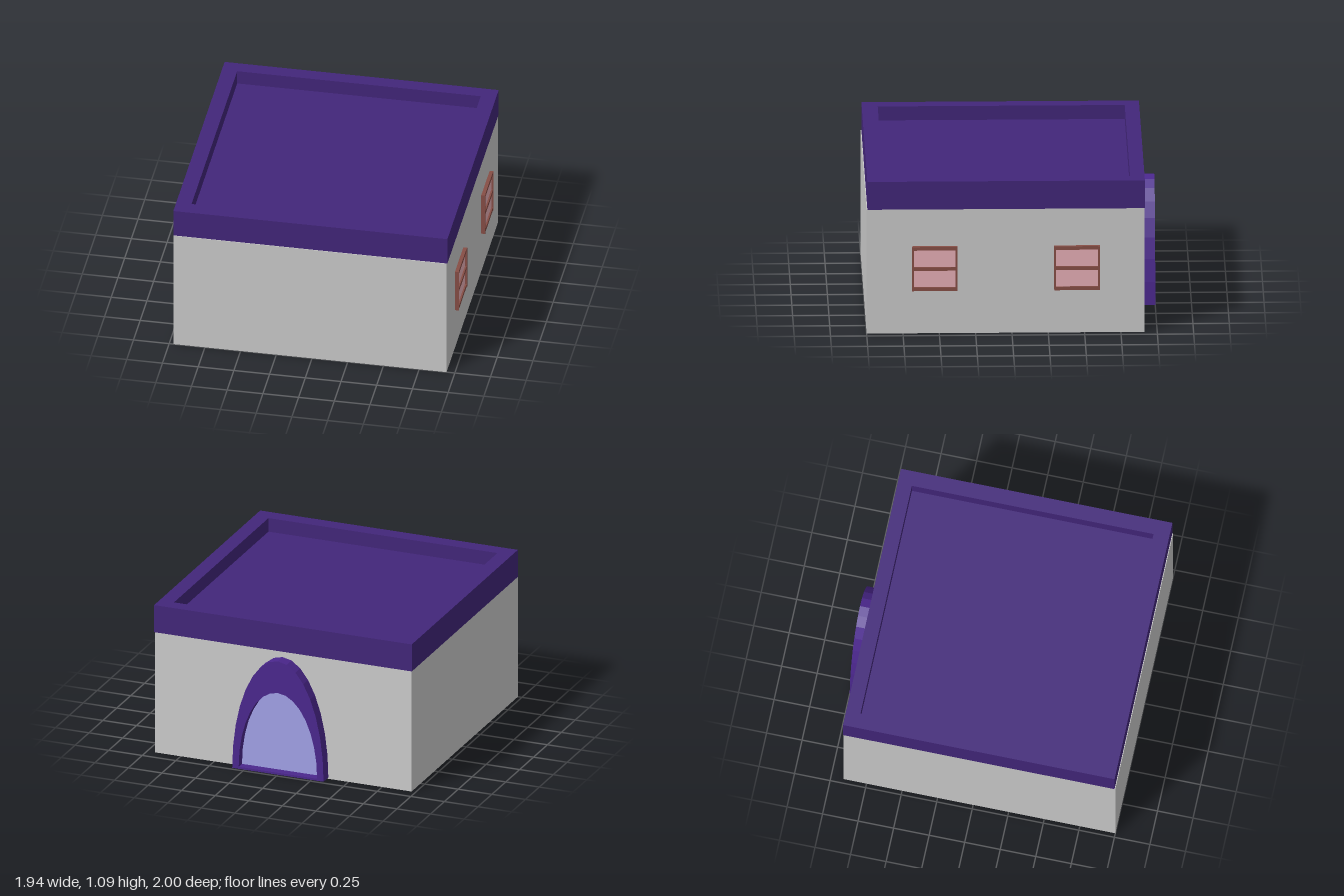
import * as THREE from 'three';

const material = (color) => new THREE.MeshStandardMaterial({ color, flatShading: true });
const wallMat = material(0xcccccc);
const roofMat = material(0x42267a);
const archMat = material(0x4b278e);
const frameMat = material(0x874e46);
const paneMat = material(0xe9b0b7);
const doorMat = material(0xa1a1e8);

// Box given by its minimum and maximum corners
function box(name, mat, min, max) {
  const size = max.map((v, i) => v - min[i]);
  const mesh = new THREE.Mesh(new THREE.BoxGeometry(...size), mat);
  mesh.position.set(...max.map((v, i) => (v + min[i]) / 2));
  mesh.name = name;
  return mesh;
}

// Points of a half ellipse standing on y = base
function archPoints(radius, base, top, segments = 16) {
  const points = [];
  for (let i = 0; i <= segments; i++) {
    const a = (Math.PI * i) / segments;
    points.push(new THREE.Vector2(radius * Math.cos(a), base + (top - base) * Math.sin(a)));
  }
  return points;
}

function rectPoints(x0, y0, x1, y1) {
  return [[x0, y0], [x1, y0], [x1, y1], [x0, y1]].map((p) => new THREE.Vector2(...p));
}

// Roof block with a raised rim around a sunken floor
function createRoof() {
  const roof = new THREE.Group();
  roof.name = 'roof';
  const outline = new THREE.Shape(rectPoints(-0.972, -0.995, 0.947, 0.915));
  outline.holes.push(new THREE.Path(rectPoints(-0.865, -0.885, 0.84, 0.815)));
  const rim = new THREE.Mesh(
    new THREE.ExtrudeGeometry(outline, { depth: 0.2, bevelEnabled: false }), roofMat);
  rim.rotation.x = -Math.PI / 2;
  rim.position.y = 0.89;
  rim.name = 'parapet';
  roof.add(rim, box('roofFloor', roofMat, [-0.865, 0.89, -0.815], [0.84, 0.99, 0.885]));
  return roof;
}

// Two-pane window on the +x wall, centred on z
function createWindow(z) {
  const group = new THREE.Group();
  group.name = 'window';
  const h = 0.157, x0 = 0.935, x1 = 0.97;
  for (const s of [-1, 1]) {
    const [a, b] = [s * h, s * (h - 0.013)].sort((p, q) => p - q);
    group.add(box('frameSide', frameMat, [x0, 0.31, a], [x1, 0.625, b]));
  }
  for (const [name, y0, y1] of [['frameBottom', 0.31, 0.335], ['frameTop', 0.6, 0.625], ['crossbar', 0.455, 0.48]]) {
    group.add(box(name, frameMat, [x0, y0, -h + 0.013], [x1 - 0.003, y1, h - 0.013]));
  }
  group.add(box('pane', paneMat, [x0, 0.335, -h + 0.013], [0.956, 0.6, h - 0.013]));
  group.position.z = z;
  return group;
}

// Arched surround with sill and a recessed door panel on the back wall
function createDoorway() {
  const group = new THREE.Group();
  group.name = 'doorway';
  const outline = new THREE.Shape(archPoints(0.34, 0.01, 0.85));
  outline.holes.push(new THREE.Path(archPoints(0.292, 0.025, 0.615)));
  const surround = new THREE.Mesh(
    new THREE.ExtrudeGeometry(outline, { depth: 0.1, bevelEnabled: false }), archMat);
  surround.position.z = -1;
  surround.name = 'archSurround';
  const door = new THREE.Mesh(
    new THREE.ExtrudeGeometry(new THREE.Shape(archPoints(0.292, 0.025, 0.615)),
      { depth: 0.03, bevelEnabled: false }), doorMat);
  door.position.z = -0.94;
  door.name = 'doorPanel';
  group.add(surround, door);
  group.position.x = -0.01;
  return group;
}

export function createModel() {
  const model = new THREE.Group();
  model.name = 'house';
  model.add(
    box('walls', wallMat, [-0.97, 0, -0.913], [0.942, 0.89, 1]),
    createRoof(),
    createWindow(0.532),
    createWindow(-0.448),
    createDoorway(),
  );
  return model;
}
